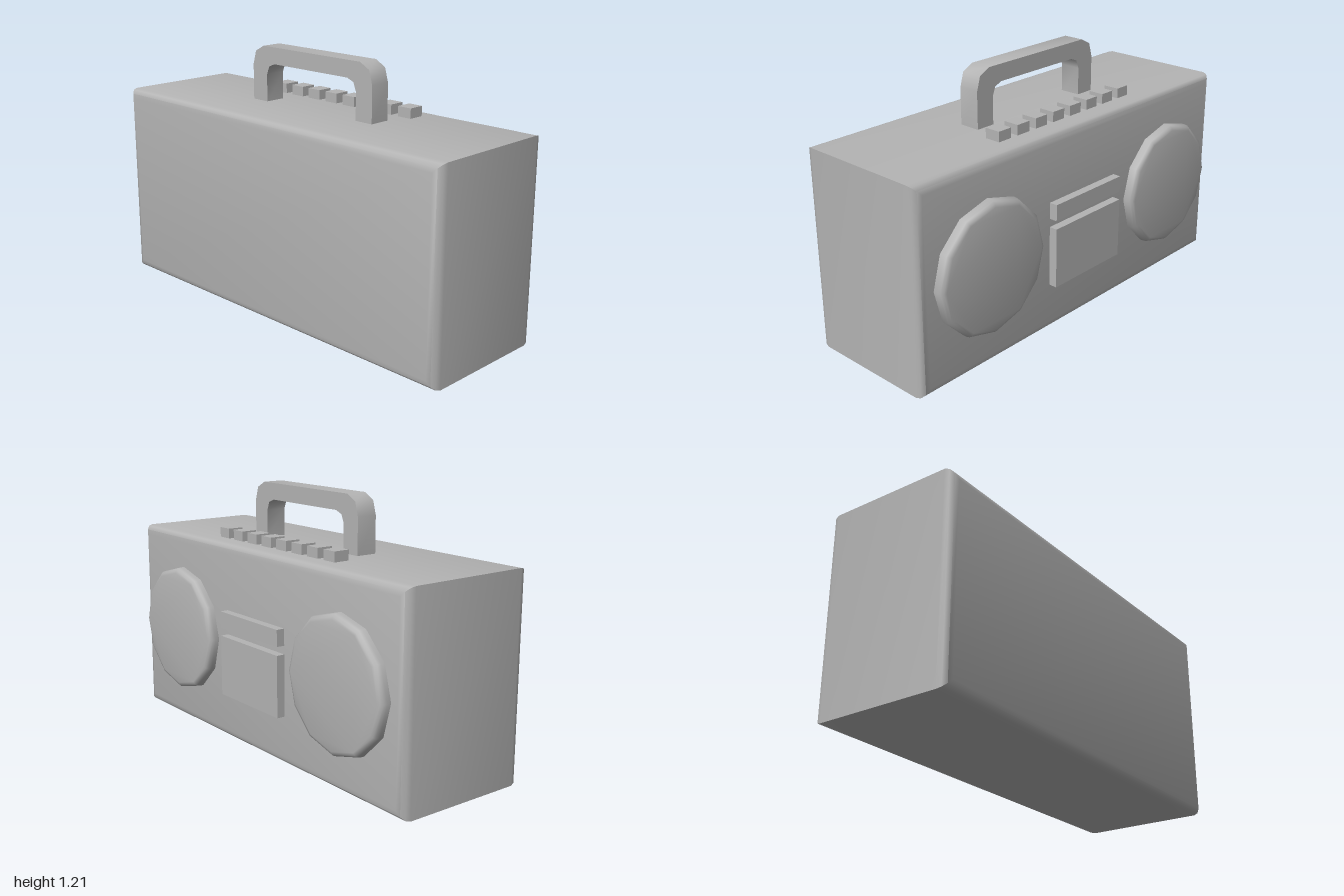
import * as THREE from 'three';
import { toCreasedNormals } from 'three/addons/utils/BufferGeometryUtils.js';

const plastic = new THREE.MeshStandardMaterial({ color: 0xb4b4b4 });
plastic.name = 'grey plastic';

// Extrudes a side outline of [z, y] points from x0 to x1, with optional rounded rims
function sidePart(name, points, x0, x1, bevelSize = 0, bevelThickness = 0) {
  const shape = new THREE.Shape(points.map(([z, y]) => new THREE.Vector2(-z, y)));
  const geometry = new THREE.ExtrudeGeometry(shape, {
    depth: x1 - x0 - 2 * bevelThickness,
    bevelEnabled: bevelSize > 0,
    bevelSize,
    bevelThickness,
    bevelOffset: -bevelSize,
    bevelSegments: 3,
  });
  geometry.translate(0, 0, x0 + bevelThickness);
  geometry.rotateY(Math.PI / 2);
  const mesh = new THREE.Mesh(toCreasedNormals(geometry, 0.9), plastic);
  mesh.name = name;
  return mesh;
}

// Box given by its limits
function box(name, x0, x1, y0, y1, z0, z1) {
  const mesh = new THREE.Mesh(new THREE.BoxGeometry(x1 - x0, y1 - y0, z1 - z0), plastic);
  mesh.position.set((x0 + x1) / 2, (y0 + y1) / 2, (z0 + z1) / 2);
  mesh.name = name;
  return mesh;
}

export function createModel() {
  const model = new THREE.Group();
  model.name = 'portable stereo';

  // Case, rounded along the edges of its two large faces
  model.add(sidePart('case', [[1, 0], [1, 0.95], [-1, 0.95], [-1, 0]], -0.363, 0.31, 0.043, 0.043));

  // Twelve-sided speakers
  for (const side of [1, -1]) {
    const rim = [];
    for (let i = 0; i < 12; i++) {
      const a = (i / 12) * Math.PI * 2;
      rim.push([side * 0.613 - 0.307 * Math.cos(a), 0.478 + 0.307 * Math.sin(a)]);
    }
    model.add(sidePart(side > 0 ? 'leftSpeaker' : 'rightSpeaker', rim, 0.26, 0.36, 0.025, 0.03));
  }

  // Tuner display and cassette door
  model.add(box('display', 0.29, 0.35, 0.56, 0.637, -0.222, 0.225));
  model.add(box('cassetteDoor', 0.29, 0.35, 0.233, 0.52, -0.222, 0.225));

  // Row of buttons
  for (let i = 0; i < 8; i++) {
    const z = -0.404 + i * 0.1143;
    model.add(box('button', 0.13, 0.207, 0.93, 0.997, z - 0.037, z + 0.037));
  }

  // Carrying handle: outer and inner half outlines, mirrored
  const outer = [[0.383, 0.94], [0.383, 1.12], [0.364, 1.185], [0.31, 1.214]];
  const inner = [[0.235, 1.135], [0.272, 1.12], [0.288, 1.08], [0.288, 0.94]];
  const mirror = (half) => half.map(([z, y]) => [-z, y]).reverse();
  model.add(sidePart('handle', [...outer, ...mirror(outer), ...mirror(inner), ...inner], -0.07, 0.032));

  return model;
}
